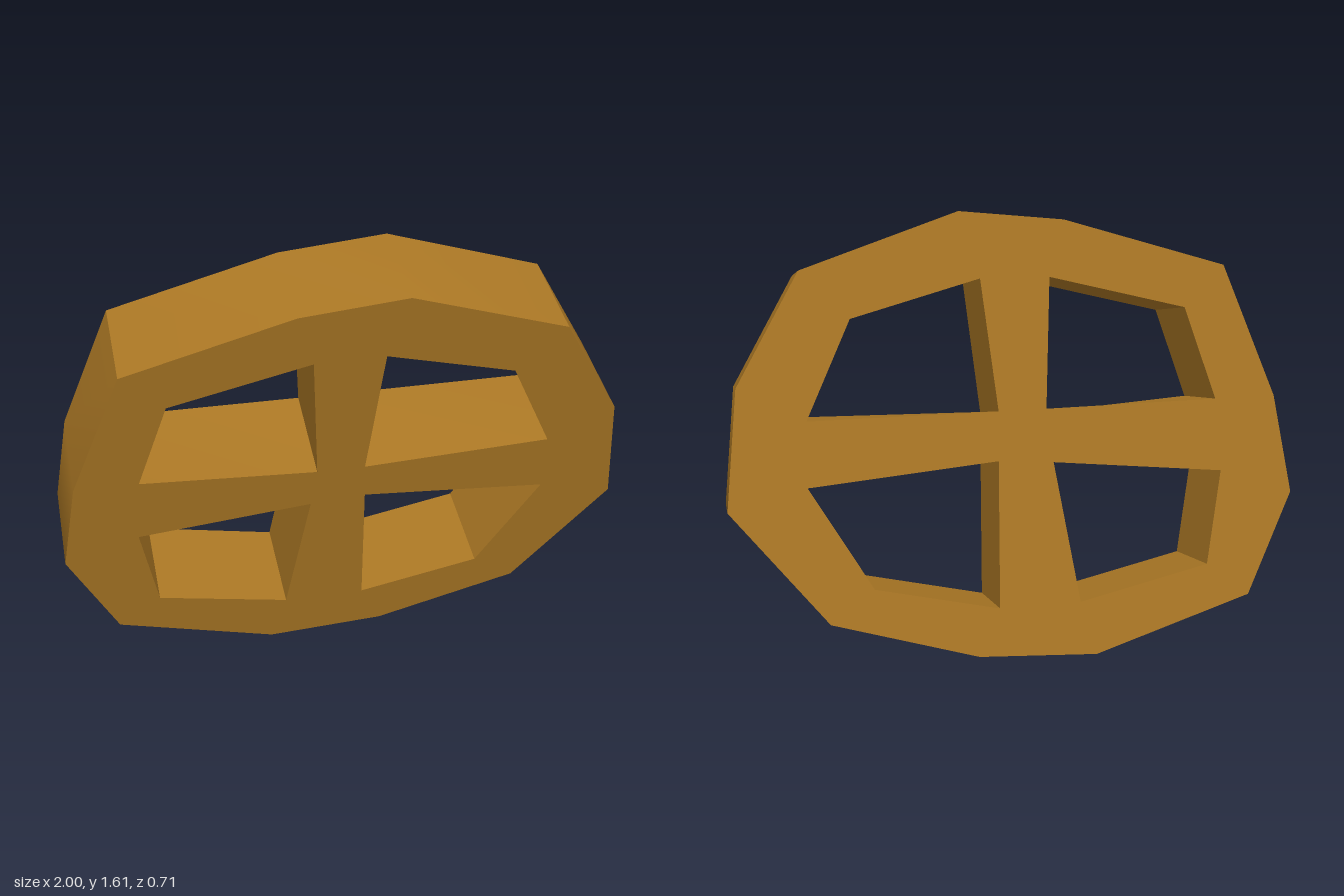
import * as THREE from 'three';
import { mergeGeometries } from 'three/addons/utils/BufferGeometryUtils.js';

const TILT = 0.2374, DEPTH = 0.355;
const upright = Math.cos(TILT);
const points = list => list.map(([x, y]) => new THREE.Vector2(x, y / upright));

// Rim outline, counterclockwise: four smooth arcs that meet at hard corners
const arcs = [
  [[-0.825, 0.17], [-0.255, 0.005], [0.165, 0.03], [0.675, 0.18]],
  [[0.675, 0.18], [1, 0.575], [0.95, 0.98], [0.72, 1.355]],
  [[0.72, 1.355], [0.165, 1.532], [-0.205, 1.493], [-0.78, 1.32]],
  [[-0.78, 1.32], [-0.95, 0.86], [-1, 0.52], [-0.825, 0.17]],
].map(points);

// Four openings between the spokes, clockwise
const openings = upperInner => [
  [[-0.73, 0.86], [-0.63, 1.18], [-0.145, 1.302], [-0.113, upperInner]],
  [[0.057, upperInner], [0.1, 1.306], [0.555, 1.19], [0.72, 0.86]],
  [[-0.74, 0.61], [-0.13, 0.675], [-0.205, 0.19], [-0.675, 0.287]],
  [[0.065, 0.69], [0.728, 0.64], [0.518, 0.287], [0.085, 0.19]],
].map(points);
const frontHoles = openings(0.825), backHoles = openings(0.858);

// Strip of wall running from the front outline to the back outline
function wall(front, back = front) {
  const pos = [], index = [];
  front.forEach((p, i) => {
    pos.push(p.x, p.y, 0, back[i].x, back[i].y, -DEPTH);
    if (i) {
      const a = 2 * i - 2;
      index.push(a, a + 1, a + 3, a, a + 3, a + 2);
    }
  });
  const geo = new THREE.BufferGeometry();
  geo.setAttribute('position', new THREE.Float32BufferAttribute(pos, 3));
  geo.setIndex(index);
  geo.computeVertexNormals();
  return geo;
}

// Flat wheel face with its openings
function face(holes, isBack) {
  const shape = new THREE.Shape(arcs.flatMap(arc => arc.slice(0, -1)));
  shape.holes = holes.map(h => new THREE.Path(h));
  const geo = new THREE.ShapeGeometry(shape);
  if (isBack) {
    geo.setIndex(Array.from(geo.index.array).reverse());
    geo.translate(0, 0, -DEPTH);
    geo.computeVertexNormals();
  }
  return geo;
}

export function createModel() {
  const wood = new THREE.MeshStandardMaterial({ color: 0xa97624 });
  wood.name = 'wood';
  const model = new THREE.Group();
  model.name = 'wheel';
  const add = (name, geo) => {
    const mesh = new THREE.Mesh(geo, wood);
    mesh.name = name;
    model.add(mesh);
  };

  add('frontFace', face(frontHoles, false));
  add('backFace', face(backHoles, true));
  add('rim', mergeGeometries(arcs.map(arc => wall(arc))));

  // Flat walls inside each opening
  const sides = frontHoles.flatMap((hole, h) => hole.map((p, i) => {
    const j = (i + 1) % hole.length;
    return wall([p, hole[j]], [backHoles[h][i], backHoles[h][j]]);
  }));
  add('spokeWalls', mergeGeometries(sides));

  // Lean the wheel forward
  model.rotation.x = TILT;
  model.position.z = -0.013;
  const root = new THREE.Group();
  root.name = 'leaningWheel';
  root.add(model);
  return root;
}
